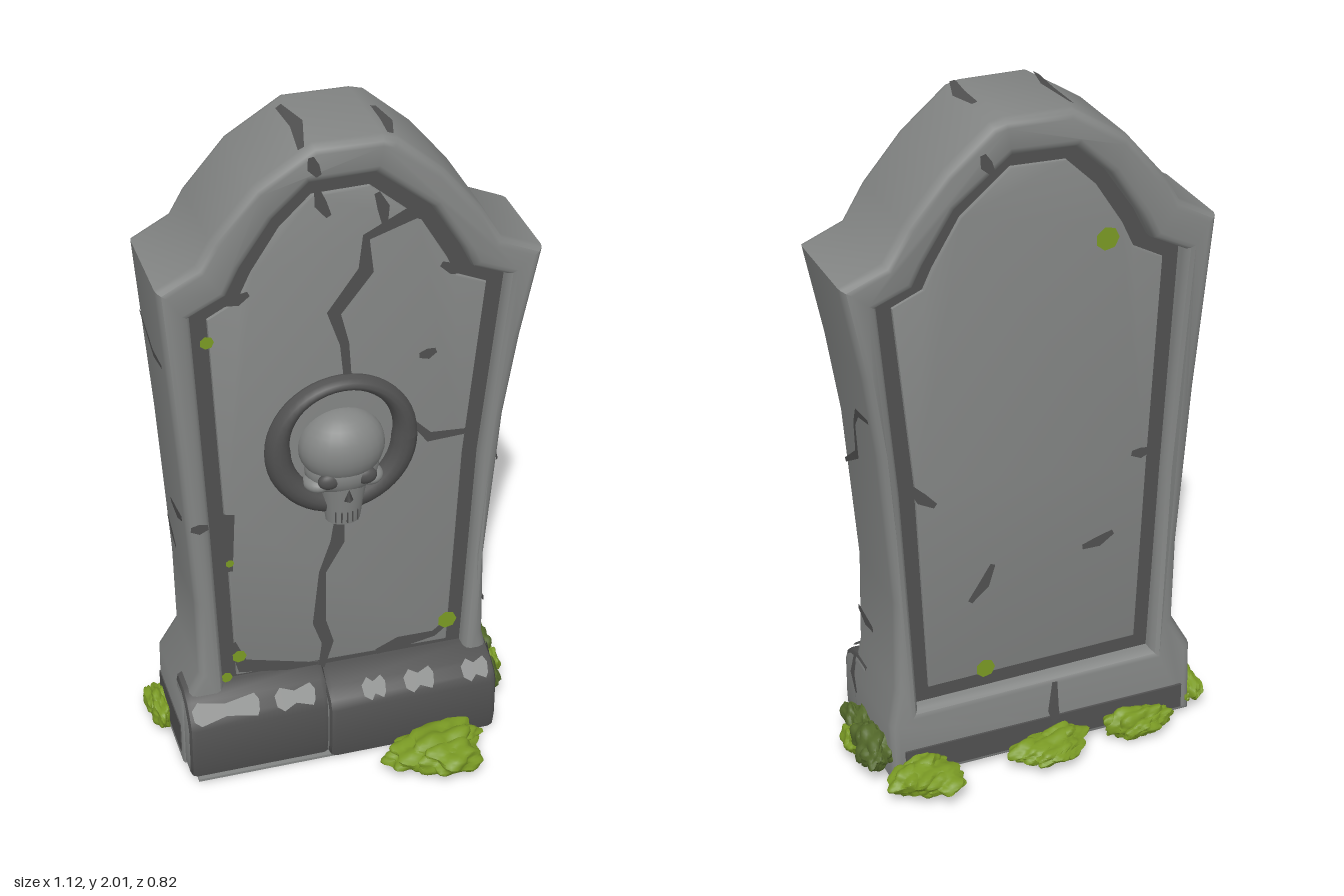
import * as THREE from 'three';
import { toCreasedNormals, mergeGeometries } from 'three/addons/utils/BufferGeometryUtils.js';

// Silhouette of the slab and of the opening in its frame
const OUTER = [[-0.5, 0.01], [0.45, 0.01], [0.455, 0.2], [0.43, 0.31], [0.425, 0.6], [0.465, 1.08],
  [0.505, 1.33], [0.56, 1.6], [0.44, 1.65], [0.38, 1.75], [0.27, 1.88], [0.14, 1.99], [0.1, 2],
  [-0.09, 2], [-0.25, 1.9], [-0.37, 1.76], [-0.41, 1.69], [-0.52, 1.63],
  [-0.48, 1.1], [-0.45, 0.6], [-0.445, 0.34], [-0.5, 0.24]];
const INNER = [[-0.37, 0.25], [-0.395, 0.85], [-0.43, 1.54], [-0.33, 1.59], [-0.29, 1.67], [-0.2, 1.8],
  [-0.1, 1.89], [0.08, 1.895], [0.24, 1.77], [0.33, 1.63], [0.36, 1.57], [0.46, 1.53], [0.4, 0.95], [0.365, 0.24]];

const vecs = (pts) => pts.map(([x, y]) => new THREE.Vector2(x, y));
const smooth = THREE.MathUtils.smoothstep;

// The back of the slab has a slight waist in the lower half
const backZ = (y) => 0.025 * (1 - smooth(y, 1.0, 1.25)) * smooth(y, 0.1, 0.4);

// x of the slab side at a height, for marks laid on the +x or -x side
function sideX(y, sign) {
  for (let i = 0; i < OUTER.length; i++) {
    const a = OUTER[i], b = OUTER[(i + 1) % OUTER.length];
    if (a[0] * sign > 0 && b[0] * sign > 0 && (a[1] - y) * (b[1] - y) <= 0 && a[1] !== b[1]) {
      return a[0] + (b[0] - a[0]) * (y - a[1]) / (b[1] - a[1]) + sign * 0.004;
    }
  }
  return sign * 0.5;
}

// Tapered flat strip along [u, v] points, laid on a surface by place(u, v)
function strip(place, width, pts) {
  const pos = [], idx = [];
  pts.forEach(([u, v], i) => {
    const a = pts[Math.max(i - 1, 0)], b = pts[Math.min(i + 1, pts.length - 1)];
    const len = Math.hypot(b[0] - a[0], b[1] - a[1]);
    const end = i === 0 || i === pts.length - 1;
    const w = width * (end ? 0.5 : 0.85 + 0.3 * Math.sin(i * 2.3)) / 2;
    const nu = -(b[1] - a[1]) / len * w, nv = (b[0] - a[0]) / len * w;
    pos.push(...place(u + nu, v + nv), ...place(u - nu, v - nv));
    if (i) idx.push(2 * i - 2, 2 * i - 1, 2 * i, 2 * i - 1, 2 * i + 1, 2 * i);
  });
  const g = new THREE.BufferGeometry();
  g.setAttribute('position', new THREE.Float32BufferAttribute(pos, 3));
  g.setIndex(idx);
  g.computeVertexNormals();
  return g;
}

// Uneven clump of soft lumps around a centre
function mossGeometry([cx, cy, cz], [sx, sy, sz], seed) {
  const parts = [];
  for (let k = 0; k < 4; k++) {
    const g = new THREE.IcosahedronGeometry(1, 6), p = g.attributes.position, v = new THREE.Vector3();
    const a = k * 2.4 + seed, s = k ? 0.56 : 0.72, off = k ? 0.48 : 0;
    for (let i = 0; i < p.count; i++) {
      v.fromBufferAttribute(p, i);
      const n = Math.sin(v.x * 5 + a) * Math.sin(v.y * 4 + seed) + 0.8 * Math.sin(v.z * 6 + a * 2 + v.x * 3)
        + 0.35 * Math.sin(v.x * 10 + v.y * 9 + a);
      v.multiplyScalar(s * (1 + 0.17 * n));
      p.setXYZ(i, cx + (v.x + off * Math.cos(a)) * sx,
        Math.max(0, cy + v.y * sy * (1 + 0.25 * Math.sin(a))), cz + (v.z + off * Math.sin(a)) * sz);
    }
    parts.push(g);
  }
  return toCreasedNormals(mergeGeometries(parts), 0.9);
}

export function createModel() {
  const model = new THREE.Group();
  const mat = (name, color, side) => {
    const m = new THREE.MeshStandardMaterial({ color, side });
    m.name = name;
    return m;
  };
  const stone = mat('grey stone', 0x838584, THREE.DoubleSide);
  const dark = mat('dark stone', 0x505050, THREE.DoubleSide);
  const moss = mat('moss green', 0x7a9a24, THREE.FrontSide);
  const shadeMoss = mat('dark moss green', 0x53682a, THREE.FrontSide);
  const add = (name, geo, material, parent = model) => {
    const m = new THREE.Mesh(geo, material);
    m.name = name;
    parent.add(m);
  };

  // Frame with rounded edges and an opening for the panel
  const frameShape = new THREE.Shape(vecs(OUTER));
  frameShape.holes.push(new THREE.Path(vecs(INNER)));
  const frame = new THREE.ExtrudeGeometry(frameShape, { depth: 0.285, bevelThickness: 0.03, bevelSize: 0.025,
    bevelOffset: -0.025, bevelSegments: 3 });
  frame.translate(0, 0, -0.205);
  const fp = frame.attributes.position;
  for (let i = 0; i < fp.count; i++) {
    if (fp.getZ(i) < -0.1) fp.setZ(i, fp.getZ(i) + backZ(fp.getY(i)));
  }
  add('frame', toCreasedNormals(frame, 0.75), stone);

  // Dark groove floor, with the paler panel standing on it front and back
  const panel = (scaleX, scaleY, z0, z1, bevel) => {
    const pts = INNER.map(([x, y]) => [x * scaleX, 1.07 + (y - 1.07) * scaleY]);
    const g = new THREE.ExtrudeGeometry(new THREE.Shape(vecs(pts)), { depth: z1 - z0 - 2 * bevel, bevelThickness: bevel,
      bevelSize: bevel, bevelOffset: -bevel, bevelSegments: 2, bevelEnabled: bevel > 0 });
    return toCreasedNormals(g.translate(0, 0, z0 + bevel), 0.6);
  };
  add('grooveFloor', panel(1.03, 1.01, -0.18, 0.068, 0), dark);
  add('panel', panel(0.885, 0.945, -0.188, 0.078, 0.006), stone);

  // Plinth in two broken halves, dark along the front
  const plinth = (name, x0, x1, d, h) => {
    const s = new THREE.Shape(vecs([[0, 0.012], [d - 0.01, 0.012], [d, 0.06], [d, 0.19], [d - 0.015, 0.22],
      [d - 0.05, h], [0.08, h + 0.025], [0, h + 0.025]]));
    const g = new THREE.ExtrudeGeometry(s, { depth: x1 - x0 - 0.04, bevelThickness: 0.02, bevelSize: 0.015,
      bevelOffset: -0.015, bevelSegments: 2 });
    g.rotateY(-Math.PI / 2).translate(x1 - 0.02, 0, 0);
    add(name, toCreasedNormals(g, 0.7), [stone, dark]);
  };
  plinth('plinthRight', -0.495, -0.065, 0.175, 0.26);
  plinth('plinthLeft', -0.075, 0.445, 0.2, 0.245);
  add('underside', new THREE.BoxGeometry(0.9, 0.008, 0.38).translate(-0.025, 0.008, -0.01), stone);
  add('backFoot', new THREE.BoxGeometry(0.88, 0.08, 0.008).translate(-0.025, 0.075, -0.234), dark);
  add('sideFoot', new THREE.BoxGeometry(0.008, 0.1, 0.27).translate(-0.499, 0.09, -0.065), dark);

  // Worn pale edges on the plinth
  const worn = (a, b, d) => add('wornEdge', strip((x, y) => [x, y, d - 0.005 - (y - 0.22) * 1.1], 0.045,
    [[a, 0.233], [a + 0.02, 0.235], [(a + b) / 2, 0.236], [b - 0.01, 0.236], [b, 0.234]]), stone);
  worn(-0.48, -0.28, 0.175);
  worn(-0.23, -0.11, 0.175);
  worn(0.03, 0.1, 0.2);
  worn(0.16, 0.25, 0.2);
  worn(0.34, 0.42, 0.2);

  // Surfaces that cracks lie on
  const onPanel = (x, y) => [x, y, 0.083];
  const onFrame = (x, y) => [x, y, 0.114];
  const onBack = (x, y) => [x, y, -0.192];
  const onBackFrame = (x, y) => [x, y, -0.239 + backZ(y)];
  const onLeft = (z, y) => [sideX(y, 1), y, z];
  const onRight = (z, y) => [sideX(y, -1), y, z];
  const onTop = (x, z) => [x, 2.005 - Math.max(0, (x - 0.1) * 0.25, (-x - 0.09) * 0.6), z];

  // Long cracks follow a path; chips are short slanted marks
  const cracks = new THREE.Group();
  cracks.name = 'cracks';
  model.add(cracks);
  const crack = (place, width, ...pts) => add('crack', strip(place, width, pts), dark, cracks);
  const chip = (place, u, v, angle, length) => {
    const du = Math.cos(angle) * length / 2, dv = Math.sin(angle) * length / 2;
    crack(place, 0.032, [u - du, v - dv], [u + dv * 0.15, v - du * 0.15], [u + du, v + dv]);
  };
  crack(onPanel, 0.045, [0.28, 1.71], [0.2, 1.76], [0.06, 1.7], [0.06, 1.6], [-0.03, 1.48], [0, 1.38], [0.01, 1.26]);
  crack(onPanel, 0.04, [-0.01, 0.86], [-0.02, 0.72], [-0.065, 0.62], [-0.075, 0.44], [-0.05, 0.36], [-0.07, 0.27]);
  crack(onPanel, 0.03, [0.2, 1.09], [0.25, 1.03], [0.39, 1.03]);
  crack(onPanel, 0.035, [-0.38, 0.88], [-0.34, 0.87], [-0.34, 0.68]);
  crack(onPanel, 0.04, [0.1, 0.29], [0.17, 0.31], [0.28, 0.32], [0.34, 0.37]);
  crack(onPanel, 0.045, [-0.34, 0.42], [-0.31, 0.33], [-0.08, 0.28]);
  crack(onLeft, 0.025, [0.09, 0.92], [-0.03, 1.0], [-0.05, 1.11], [-0.1, 1.17], [-0.2, 1.19]);
  crack(onRight, 0.022, [-0.19, 1.42], [-0.05, 1.36], [0.06, 1.38]);
  chip(onPanel, 0.1, 1.78, 1.8, 0.1);
  chip(onPanel, -0.06, 1.82, -1.2, 0.09);
  chip(onPanel, 0.24, 1.31, 0.2, 0.05);
  chip(onPanel, -0.3, 1.57, 0.3, 0.07);
  chip(onPanel, 0.31, 1.57, -0.4, 0.08);
  chip(onFrame, -0.09, 1.945, -1.2, 0.06);
  chip(onFrame, -0.43, 0.87, 0, 0.05);
  chip(onLeft, 0.03, 0.42, 0.1, 0.12);
  chip(onLeft, 0.08, 0.2, 1.3, 0.12);
  chip(onRight, -0.12, 0.71, -0.7, 0.1);
  chip(onRight, 0, 0.87, 0.2, 0.15);
  chip(onTop, -0.115, -0.04, 1.6, 0.25);
  chip(onTop, 0.125, 0, 1.6, 0.17);
  chip(onBack, 0.16, 0.6, -1, 0.13);
  chip(onBack, -0.2, 0.66, -0.3, 0.1);
  chip(onBack, -0.33, 0.92, 0, 0.06);
  chip(onBack, 0.33, 0.92, 0.8, 0.1);
  chip(onBackFrame, -0.06, 0.14, 1.5, 0.18);
  chip(onBackFrame, 0.155, 1.89, 1.1, 0.06);

  // Ring around the skull, heavier at the sides than at the top
  const skull = new THREE.Group();
  skull.name = 'skullMedallion';
  skull.position.set(-0.01, 1.06, 0);
  model.add(skull);
  const ring = new THREE.TorusGeometry(0.185, 0.038, 12, 48), rp = ring.attributes.position;
  for (let i = 0; i < rp.count; i++) {
    const x = rp.getX(i), y = rp.getY(i), r = Math.hypot(x, y);
    const k = (0.222 + (r - 0.222) * (1 - 0.45 * Math.max(0, y / r))) / r;
    rp.setXYZ(i, x * k, y * k, rp.getZ(i) + 0.085);
  }
  ring.computeVertexNormals();
  add('ring', ring, dark, skull);

  // Skull: cranium, cheeks, jaw and dark hollows
  const ball = (name, x, y, z, rx, ry, rz, material) => add(name,
    new THREE.SphereGeometry(1, 24, 16).scale(rx, ry, rz).translate(x, y, z), material, skull);
  ball('cranium', 0, 0, 0.085, 0.125, 0.112, 0.1, stone);
  ball('face', 0, -0.07, 0.085, 0.108, 0.085, 0.085, stone);
  for (const s of [-1, 1]) {
    ball('cheekbone', s * 0.075, -0.105, 0.1, 0.042, 0.026, 0.048, stone);
    ball('eyeSocket', s * 0.053, -0.078, 0.148, 0.033, 0.026, 0.02, dark);
  }
  const jaw = new THREE.CylinderGeometry(0.07, 0.05, 0.13, 16).scale(1, 1, 0.85).translate(0, -0.175, 0.1);
  add('jaw', toCreasedNormals(jaw, 0.7), stone, skull);
  add('nose', new THREE.ConeGeometry(0.016, 0.04, 3).scale(1, 1, 0.5).translate(0, -0.127, 0.164), dark, skull);
  for (let i = -2; i <= 2; i++) {
    add('toothGap', new THREE.BoxGeometry(0.003, 0.035, 0.006).translate(i * 0.016, -0.212, 0.149 - i * i * 0.002), dark, skull);
  }

  // Moss clumps around the foot: centre and half sizes
  [
    [[0.235, 0.06, 0.29], [0.165, 0.06, 0.11], moss],
    [[-0.3, 0.05, -0.275], [0.11, 0.055, 0.055], moss],
    [[-0.02, 0.05, -0.285], [0.125, 0.055, 0.08], moss],
    [[0.37, 0.06, -0.3], [0.11, 0.065, 0.09], moss],
    [[-0.515, 0.055, -0.15], [0.045, 0.055, 0.1], moss],
    [[0.48, 0.09, -0.14], [0.065, 0.08, 0.09], shadeMoss],
    [[0.47, 0.085, 0], [0.04, 0.065, 0.1], shadeMoss],
    [[0.5, 0.07, -0.07], [0.045, 0.055, 0.07], moss]
  ].forEach(([c, s, m], i) => add('mossClump', mossGeometry(c, s, i * 1.7 + 0.5), m));

  // Small moss spots on the front and back panels
  const spot = (x, y, r, back) => {
    const g = new THREE.CircleGeometry(r, 7);
    if (back) g.rotateY(Math.PI);
    add('mossSpot', g.translate(x, y, back ? -0.194 : 0.086), moss);
  };
  spot(-0.385, 1.45, 0.02, false);
  spot(-0.32, 0.37, 0.022, false);
  spot(0.32, 0.365, 0.03, false);
  spot(-0.36, 0.3, 0.018, false);
  spot(-0.34, 0.71, 0.013, false);
  spot(-0.21, 1.6, 0.035, true);
  spot(0.15, 0.31, 0.03, true);
  return model;
}
